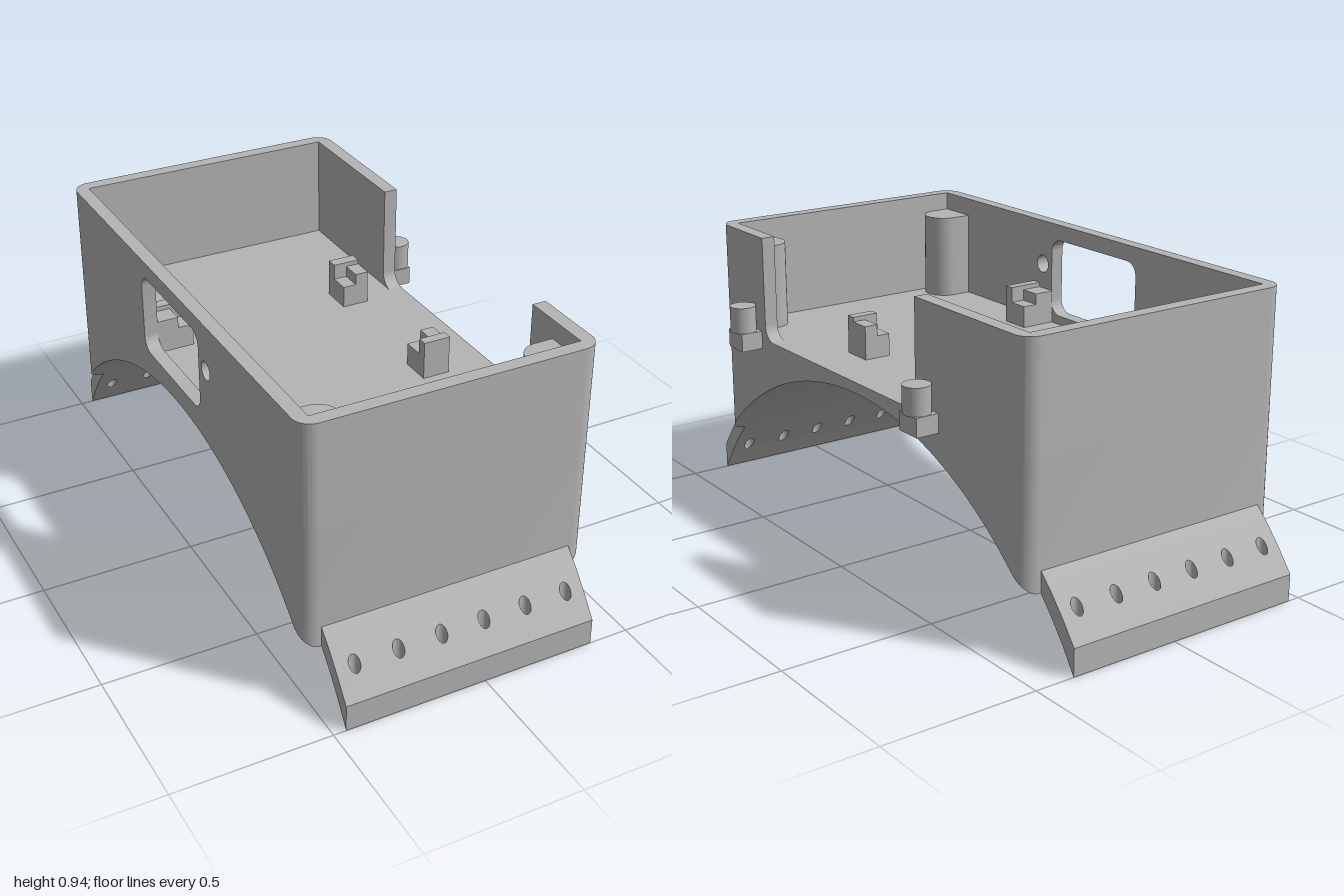
import * as THREE from 'three';
import { mergeVertices, toCreasedNormals } from 'three/addons/utils/BufferGeometryUtils.js';

const HALF_W = 0.475, HALF_D = 0.85, TOP = 0.94, FLOOR = 0.595, CORNER = 0.055, WALL = 0.045;
const ARC_Y = -0.613, ARC_IN = 1.173, ARC_OUT = 1.221;
const arcY = (r, z) => ARC_Y + Math.sqrt(r * r - z * z);

export function createModel() {
  const grey = new THREE.MeshStandardMaterial({ color: 0xb4b4b4 });
  const root = new THREE.Group();
  const shell = new THREE.Group();
  shell.name = 'enclosure';
  shell.position.x = -0.045;
  root.add(shell);

  const add = (name, geo, parent = shell) => {
    const mesh = new THREE.Mesh(geo, grey);
    mesh.name = name;
    parent.add(mesh);
    return mesh;
  };
  const box = (name, x0, x1, y0, y1, z0, z1, parent) => {
    const m = add(name, new THREE.BoxGeometry(x1 - x0, y1 - y0, z1 - z0), parent);
    m.position.set((x0 + x1) / 2, (y0 + y1) / 2, (z0 + z1) / 2);
    return m;
  };
  const extrude = (shape, depth) => toCreasedNormals(
    new THREE.ExtrudeGeometry(shape, { depth, bevelEnabled: false, curveSegments: 12 }), 0.5);
  // plan shape (x, z) raised between two heights
  const plan = (name, shape, y0, y1, parent) => {
    const m = add(name, extrude(shape, y1 - y0).rotateX(Math.PI / 2), parent);
    m.position.y = y1;
    return m;
  };
  // side shape (z, y) given thickness towards -x from the given x
  const side = (name, shape, x) => {
    const m = add(name, extrude(shape, WALL).rotateY(-Math.PI / 2), shell);
    m.position.x = x;
    return m;
  };
  const circle = (x, y, r) => new THREE.Path().absarc(x, y, r, 0, Math.PI * 2, true);

  // Solid base with rounded upright corners, arched underneath
  const N = 64, C = 8, zs = [];
  for (let i = 0; i <= N; i++) {
    const straight = HALF_D - CORNER;
    if (i < C) zs.push(-straight - CORNER * Math.cos(i / C * Math.PI / 2));
    else if (i > N - C) zs.push(straight + CORNER * Math.cos((N - i) / C * Math.PI / 2));
    else zs.push(-straight + 2 * straight * (i - C) / (N - 2 * C));
  }
  let base = new THREE.BoxGeometry(2, 2, 2, 1, 1, N);
  const p = base.attributes.position;
  for (let i = 0; i < p.count; i++) {
    const z = zs[Math.round((p.getZ(i) + 1) / 2 * N)];
    const into = Math.max(0, Math.abs(z) - (HALF_D - CORNER));
    const w = HALF_W - CORNER + Math.sqrt(Math.max(0, CORNER * CORNER - into * into));
    p.setXYZ(i, Math.sign(p.getX(i)) * w, p.getY(i) > 0 ? FLOOR : arcY(ARC_IN, z), z);
  }
  base.deleteAttribute('normal');
  base.deleteAttribute('uv');
  base = toCreasedNormals(mergeVertices(base), 0.5);
  add('archedBase', base);

  // End walls and drilled flanges, front and back
  for (const [label, turn] of [['front', 0], ['back', Math.PI]]) {
    const end = new THREE.Group();
    end.name = label + 'End';
    end.rotation.y = turn;
    shell.add(end);

    const zc = HALF_D - CORNER, xc = HALF_W - CORNER, xi = HALF_W - WALL, zi = HALF_D - WALL;
    const wall = new THREE.Shape();
    wall.moveTo(-HALF_W, zc);
    wall.lineTo(-xi, zc);
    wall.lineTo(-xi, zi);
    wall.lineTo(xi, zi);
    wall.lineTo(xi, zc);
    wall.lineTo(HALF_W, zc);
    wall.absarc(xc, zc, CORNER, 0, Math.PI / 2, false);
    wall.absarc(-xc, zc, CORNER, Math.PI / 2, Math.PI, false);
    plan(label + 'Wall', wall, FLOOR, TOP, end);

    const rows = [0.845, 0.9, 0.95, 1];
    const flange = new THREE.Shape([
      ...rows.map(z => new THREE.Vector2(0.415, z)),
      ...rows.slice().reverse().map(z => new THREE.Vector2(-0.415, z)),
    ]);
    for (let i = 0; i < 6; i++) flange.holes.push(circle((i - 2.5) * 0.142, 0.935, 0.018));
    let geo = new THREE.ExtrudeGeometry(flange, { depth: 1, bevelEnabled: false, curveSegments: 12 });
    geo.rotateX(Math.PI / 2);
    const q = geo.attributes.position;
    for (let i = 0; i < q.count; i++) {
      q.setY(i, arcY(q.getY(i) > -0.5 ? ARC_OUT : ARC_IN, q.getZ(i)));
    }
    add(label + 'Flange', toCreasedNormals(geo, 0.5), end);
  }

  // Right wall with rounded window and small round hole
  const zw = HALF_D - CORNER;
  const windowWall = new THREE.Shape();
  windowWall.moveTo(-zw, FLOOR);
  windowWall.lineTo(zw, FLOOR);
  windowWall.lineTo(zw, TOP);
  windowWall.lineTo(-zw, TOP);
  const a = -0.245, b = 0.185, c = 0.625, d = 0.887, r = 0.045;
  const opening = new THREE.Path();
  opening.absarc(b - r, d - r, r, 0, Math.PI / 2, false);
  opening.absarc(a + r, d - r, r, Math.PI / 2, Math.PI, false);
  opening.absarc(a + r, c + r, r, Math.PI, Math.PI * 1.5, false);
  opening.absarc(b - r, c + r, r, Math.PI * 1.5, Math.PI * 2, false);
  opening.closePath();
  windowWall.holes.push(opening, circle(0.235, 0.79, 0.03));
  side('windowWall', windowWall, -HALF_W + WALL);

  // Left wall: two stubs either side of a wide cut-out with filleted feet
  for (const [name, edge, s] of [['leftWallFront', 0.56, 1], ['leftWallBack', -0.325, -1]]) {
    const f = 0.05, stub = new THREE.Shape();
    stub.moveTo(s * zw, FLOOR);
    stub.lineTo(s * zw, TOP);
    stub.lineTo(edge, TOP);
    stub.lineTo(edge, FLOOR + f);
    stub.absarc(edge - s * f, FLOOR + f, f, s > 0 ? 0 : Math.PI, -Math.PI / 2 + (s > 0 ? 0 : Math.PI * 2), s > 0);
    side(name, stub, HALF_W);
  }

  // Screw posts in the front corners
  for (const s of [-1, 1]) {
    const post = new THREE.Shape();
    post.moveTo(s * 0.43, 0.67);
    post.lineTo(s * 0.365, 0.67);
    for (let i = 1; i <= 16; i++) {
      const t = i / 16 * Math.PI;
      post.lineTo(s * (0.365 - 0.065 * Math.sin(t)), 0.7375 - 0.0675 * Math.cos(t));
    }
    post.lineTo(s * 0.43, 0.805);
    plan(s > 0 ? 'leftPost' : 'rightPost', post, FLOOR, 0.88);
  }

  // Stepped board clips on the floor: [x start, x end, step start, step end]
  for (const [x0, x1, s0, s1] of [[-0.43, -0.31, -0.43, -0.36], [0.235, 0.325, 0.28, 0.325]]) {
    for (const [inner, mid, outer] of [[0.18, 0.25, 0.283], [-0.245, -0.312, -0.35]]) {
      const clip = new THREE.Group();
      clip.name = 'boardClip';
      shell.add(clip);
      const span = (name, xa, xb, ya, yb, za, zb) =>
        box(name, xa, xb, ya, yb, Math.min(za, zb), Math.max(za, zb), clip);
      span('clipSeat', x0, x1, FLOOR, 0.668, inner, mid);
      span('clipRail', x0, x1, FLOOR, 0.72, mid, outer);
      span('clipStep', s0, s1, 0.668, 0.705, inner, mid);
    }
  }

  // Outside pegs standing on square brackets
  for (const z of [0.63, -0.398]) {
    box('pegBracket', 0.47, 0.55, 0.56, 0.62, z - 0.045, z + 0.045);
    const peg = add('peg', new THREE.CylinderGeometry(0.043, 0.043, 0.087, 32));
    peg.position.set(0.519, 0.6625, z);
  }
  return root;
}
